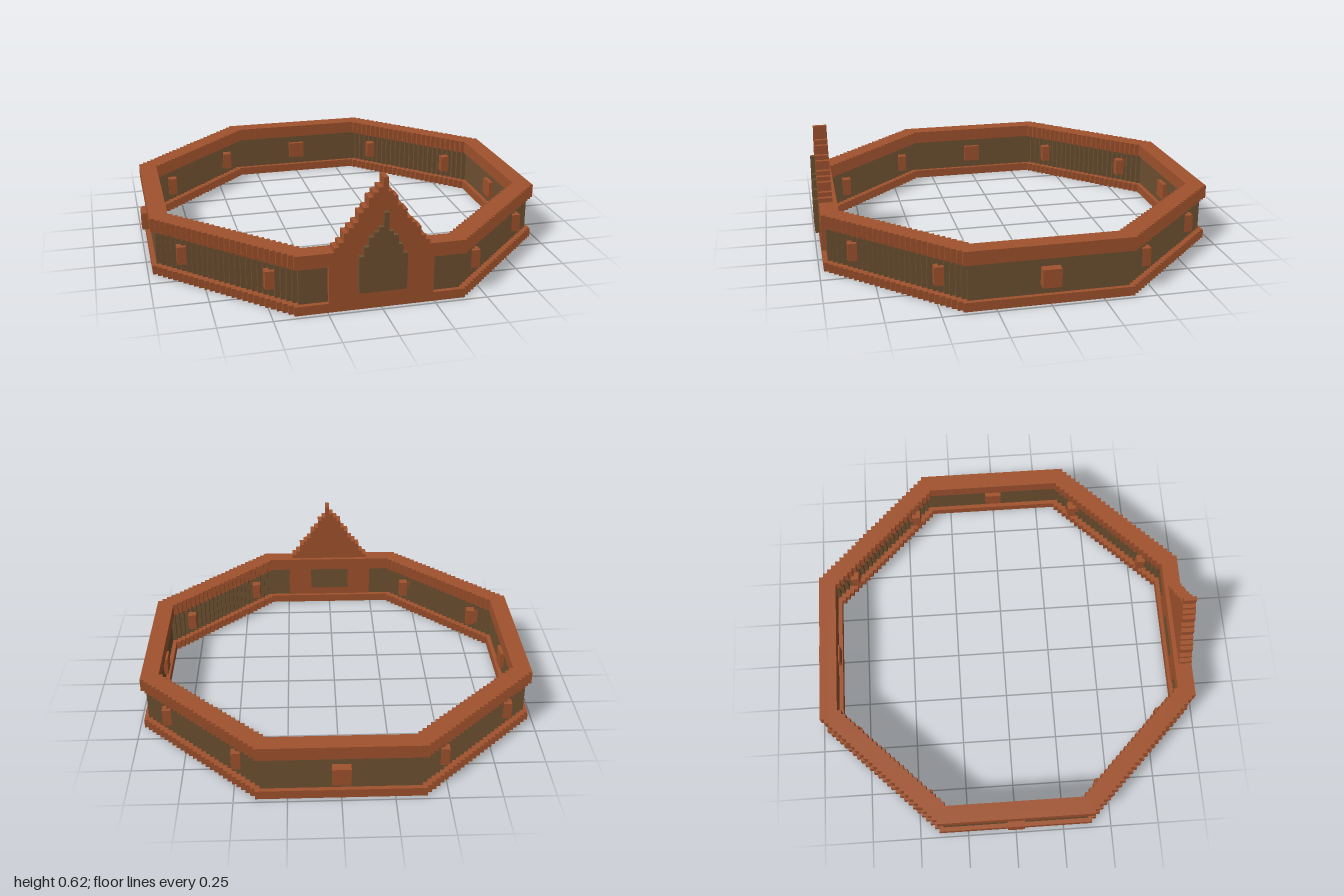
import * as THREE from 'three';

const U = 2 / 90; // one block

export function createModel() {
  const model = new THREE.Group();
  const brick = new THREE.MeshStandardMaterial({ color: 0xa0522d });
  brick.name = 'red brick';
  const panel = new THREE.MeshStandardMaterial({ color: 0x6e5030 });
  panel.name = 'brown panel';

  function add(name, geometry, material) {
    geometry.scale(U, U, U);
    const mesh = new THREE.Mesh(geometry, material);
    mesh.name = name;
    model.add(mesh);
  }

  // box given by its lower and upper corners, in blocks
  function box(name, x0, x1, y0, y1, z0, z1, material) {
    const g = new THREE.BoxGeometry(x1 - x0, y1 - y0, z1 - z0);
    g.translate((x0 + x1) / 2, (y0 + y1) / 2, (z0 + z1) / 2);
    add(name, g, material);
  }

  // octagon with stair-stepped diagonals: a = half width, c = half flat side
  function octagon(a, c) {
    const quarter = [];
    for (let k = 0; k < a - c; k++) {
      quarter.push([a - k, c + k], [a - k - 1, c + k]);
    }
    quarter.push([c, a]);
    const points = [];
    for (let q = 0; q < 4; q++) {
      const cos = [1, 0, -1, 0][q], sin = [0, 1, 0, -1][q];
      for (const [x, y] of quarter) {
        points.push(new THREE.Vector2(x * cos - y * sin, x * sin + y * cos));
      }
    }
    return points;
  }

  function ring(name, outer, inner, y0, y1, material) {
    const shape = new THREE.Shape(octagon(...outer));
    shape.holes.push(new THREE.Path(octagon(...inner)));
    const g = new THREE.ExtrudeGeometry(shape, { depth: y1 - y0, bevelEnabled: false });
    g.rotateX(-Math.PI / 2);
    g.translate(0, y0, 0);
    add(name, g, material);
  }

  // stepped outline: one half width per row, starting at row y0
  function stepped(name, y0, halves, z0, z1, material) {
    const left = [], right = [];
    halves.forEach((h, i) => {
      for (const y of [y0 + i, y0 + i + 1]) {
        right.push(new THREE.Vector2(Math.max(h, 1), y));
        left.unshift(new THREE.Vector2(-h, y));
      }
    });
    const g = new THREE.ExtrudeGeometry(new THREE.Shape([...right, ...left]), { depth: z1 - z0, bevelEnabled: false });
    g.translate(0, 0, z0);
    add(name, g, material);
  }

  // octagonal wall between two rails
  ring('bottomRail', [44, 18], [40, 16], 0, 2, brick);
  ring('wall', [43, 17], [41, 17], 2, 10, panel);
  ring('topRail', [44, 18], [40, 16], 10, 13, brick);

  // gatehouse: surround, gable and door
  box('gateSurround', -11, 11, 2, 10, 40.8, 44, brick);
  const gable = [];
  for (let r = 13; r < 28; r++) gable.push(Math.floor(10 * (27.3 - r) / 14));
  stepped('gable', 13, gable, 41, 44, brick);
  stepped('door', 4, [5, 5, 5, 5, 5, 5, 5, 5, 4, 4, 3, 3, 2, 1, 0, 0].concat([0]), 44, 45, panel);
  box('doorBack', -5, 5, 4, 10, 40.6, 40.8, panel);

  // blocks through the straight walls
  box('leftBlock', 40, 45, 4, 8, -2, 2, brick);
  box('rightBlock', -45, -40, 4, 8, -2, 2, brick);
  box('backBlock', -2, 2, 4, 8, -45, -40, brick);

  // two stepped blocks through each diagonal wall
  for (const sx of [-1, 1]) {
    for (const sz of [-1, 1]) {
      for (const [px, pz] of [[20, 36], [36, 20]]) {
        for (let k = 0; k < 3; k++) {
          const x = sx * (px + k), z = sz * (pz + k);
          box('diagonalBlock', x - 1, x + 1, 4, 8, z - 1, z + 1, brick);
        }
      }
    }
  }
  return model;
}
